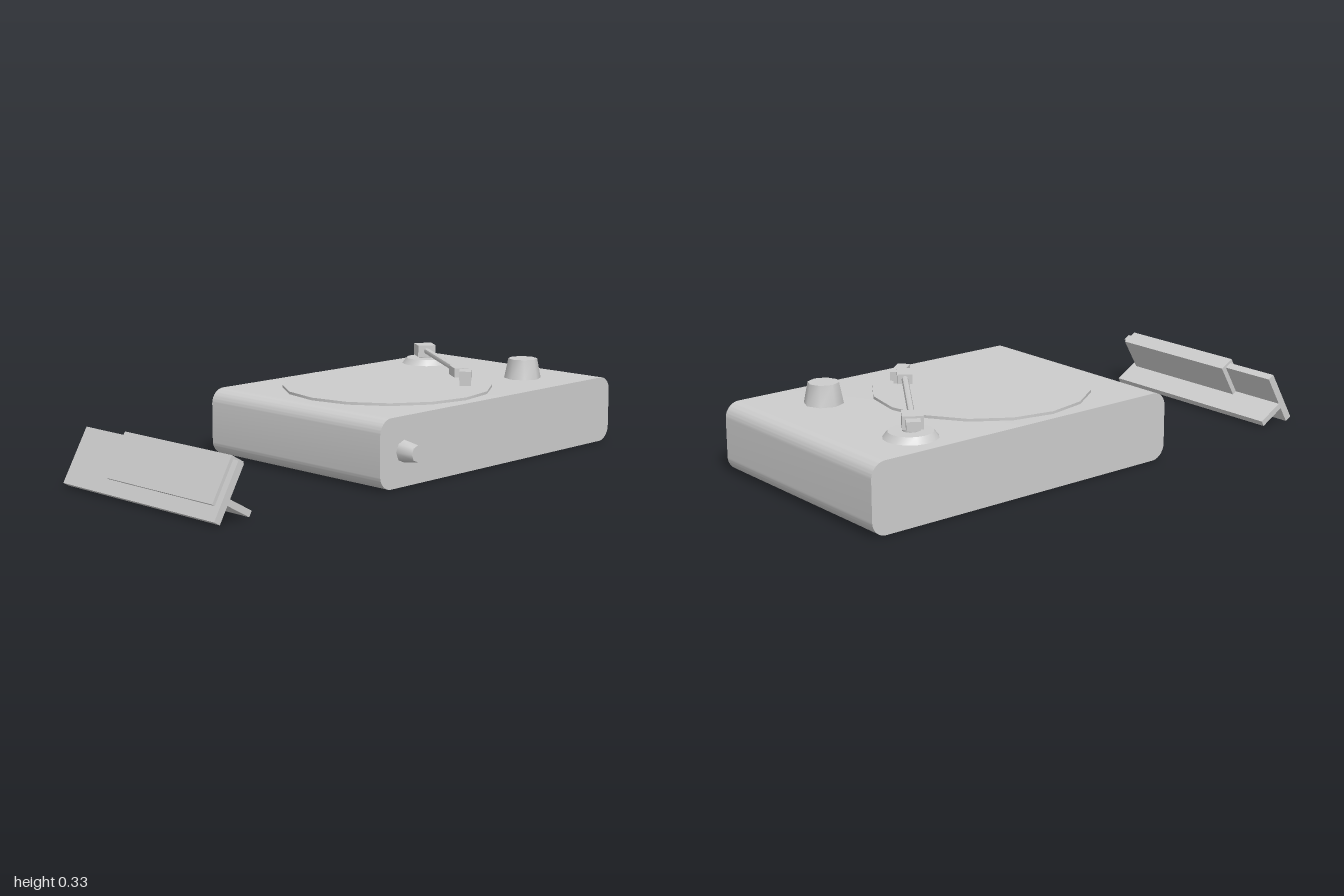
import * as THREE from 'three';
import { toCreasedNormals } from 'three/addons/utils/BufferGeometryUtils.js';

const grey = new THREE.MeshStandardMaterial({ color: 0xcccccc });
grey.name = 'plain grey';

function add(parent, name, geometry, x = 0, y = 0, z = 0) {
  const mesh = new THREE.Mesh(geometry, grey);
  mesh.name = name;
  mesh.position.set(x, y, z);
  parent.add(mesh);
  return mesh;
}

// Box given by its low and high corners
function boxBetween(parent, name, [x0, y0, z0], [x1, y1, z1]) {
  return add(parent, name, new THREE.BoxGeometry(x1 - x0, y1 - y0, z1 - z0),
    (x0 + x1) / 2, (y0 + y1) / 2, (z0 + z1) / 2);
}

function drum(rTop, rBottom, height, sides) {
  return toCreasedNormals(new THREE.CylinderGeometry(rTop, rBottom, height, sides), 0.85);
}

// Rounded side profile, extruded across the width
function bodyGeometry() {
  const [z0, z1, y0, y1, r] = [-1, 0.29, 0.003, 0.255, 0.055];
  const s = new THREE.Shape();
  s.moveTo(z0 + r, y0);
  s.lineTo(z1 - r, y0);
  s.absarc(z1 - r, y0 + r, r, -Math.PI / 2, 0);
  s.absarc(z1 - r, y1 - r, r, 0, Math.PI / 2);
  s.absarc(z0 + r, y1 - r, r, Math.PI / 2, Math.PI);
  s.absarc(z0 + r, y0 + r, r, Math.PI, Math.PI * 1.5);
  const g = new THREE.ExtrudeGeometry(s, { depth: 0.875, bevelEnabled: false, curveSegments: 8 });
  g.rotateY(-Math.PI / 2);
  g.translate(0.405, 0, 0);
  return toCreasedNormals(g, 0.6);
}

export function createModel() {
  const model = new THREE.Group();
  model.name = 'recordPlayer';

  // Cabinet, platter and knobs
  add(model, 'cabinet', bodyGeometry());
  add(model, 'platter', drum(0.395, 0.395, 0.02, 16), -0.035, 0.255, -0.205);
  add(model, 'topKnob', drum(0.056, 0.072, 0.08, 8), 0.19, 0.291, -0.73);
  const sideKnob = add(model, 'sideKnob', drum(0.03, 0.042, 0.075, 8), 0.4325, 0.13, 0.17);
  sideKnob.rotation.z = -Math.PI / 2;

  // Tonearm, with local x running from pivot to needle
  add(model, 'armBase', drum(0.078, 0.097, 0.025, 16), -0.325, 0.265, -0.735);
  add(model, 'armPost', drum(0.028, 0.028, 0.02, 12), -0.325, 0.283, -0.735);
  const arm = new THREE.Group();
  arm.name = 'tonearm';
  arm.position.set(-0.325, 0.31, -0.727);
  arm.rotation.y = -THREE.MathUtils.degToRad(33.7);
  model.add(arm);
  boxBetween(arm, 'pivotBlock', [-0.03, -0.023, -0.036], [0.044, 0.023, 0.036]);
  boxBetween(arm, 'counterweight', [-0.072, -0.014, -0.024], [-0.03, 0.016, 0.024]);
  const rod = add(arm, 'armRod', drum(0.012, 0.012, 0.48, 8), 0.27, 0, 0);
  rod.rotation.z = Math.PI / 2;
  boxBetween(arm, 'armJoint', [0.503, -0.018, -0.027], [0.59, 0.017, 0.027]);

  // Angled head with the cartridge below its end
  const head = new THREE.Group();
  head.name = 'headshell';
  head.position.set(0.183, 0.31, -0.403);
  head.rotation.y = -THREE.MathUtils.degToRad(50);
  model.add(head);
  boxBetween(head, 'headPlate', [-0.058, -0.018, -0.023], [0.058, 0.015, 0.023]);
  boxBetween(head, 'cartridge', [-0.015, -0.04, -0.021], [0.05, -0.018, 0.021]);

  // Leaning stand in front: local y runs up the plate, local z is its front
  const stand = new THREE.Group();
  stand.name = 'leaningStand';
  stand.position.set(0, 0.015, 1);
  stand.rotation.x = -Math.PI / 6;
  model.add(stand);
  boxBetween(stand, 'backPlate', [-0.445, 0, -0.028], [0.355, 0.214, 0]);
  boxBetween(stand, 'rearShelf', [-0.445, 0.067, -0.135], [0.355, 0.09, -0.028]);
  boxBetween(stand, 'sleeveFront', [-0.22, 0.052, 0], [0.33, 0.224, 0.013]);
  boxBetween(stand, 'sleeveTop', [-0.22, 0.214, -0.028], [0.33, 0.224, 0]);
  boxBetween(stand, 'sleeveBack', [-0.22, 0.09, -0.047], [0.33, 0.224, -0.028]);

  return model;
}
